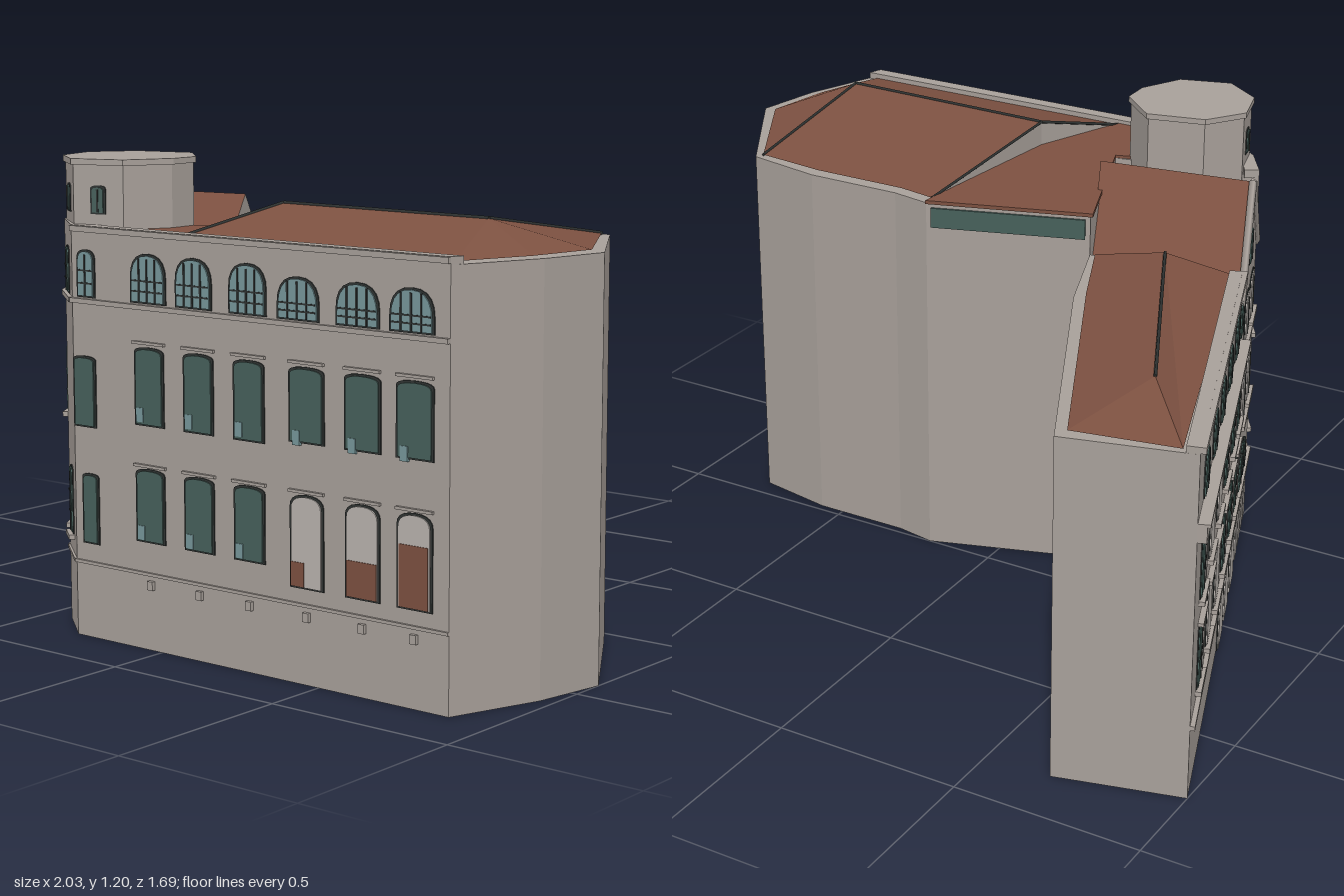
import * as THREE from 'three';

const mat = (name, color, side = THREE.FrontSide) =>
  Object.assign(new THREE.MeshStandardMaterial({ color, side }), { name });

export function createModel() {
  const model = new THREE.Group();
  model.name = 'cornerBuilding';
  const wall = mat('greyStone', 0xa8a09a, THREE.DoubleSide);
  const roof = mat('terracottaRoof', 0x7d5141, THREE.DoubleSide);
  const glass = mat('darkTealGlass', 0x47605b);
  const skyGlass = mat('paleTealGlass', 0x76969a);
  const iron = mat('darkIron', 0x2f3332);
  const pale = mat('paleStone', 0xb9b3ae);
  const clay = mat('clayPanel', 0x7d5141);

  const add = (parent, name, geometry, material) => {
    const m = new THREE.Mesh(geometry, material);
    m.name = name;
    parent.add(m);
    return m;
  };

  // Vertical block over a plan given as [x, z] points
  const block = (name, plan, y0, y1, material = wall) => {
    const shape = new THREE.Shape(plan.map(([x, z]) => new THREE.Vector2(x, -z)));
    const g = new THREE.ExtrudeGeometry(shape, { depth: y1 - y0, bevelEnabled: false });
    g.rotateX(-Math.PI / 2).translate(0, y0, 0);
    return add(model, name, g, material);
  };

  // Flat-shaded surface from polygons, each cut into a fan
  const surface = (name, polygons, material) => {
    const p = [];
    for (const poly of polygons)
      for (let i = 1; i < poly.length - 1; i++) {
        let [a, b, c] = [poly[0], poly[i], poly[i + 1]];
        const up = (b[2] - a[2]) * (c[0] - a[0]) - (b[0] - a[0]) * (c[2] - a[2]);
        if (up < 0) [b, c] = [c, b];
        p.push(...a, ...b, ...c);
      }
    const g = new THREE.BufferGeometry();
    g.setAttribute('position', new THREE.Float32BufferAttribute(p, 3));
    g.computeVertexNormals();
    return add(model, name, g, material);
  };

  // Thin bar between two points
  const bar = (name, a, b, r, material) => {
    const va = new THREE.Vector3(...a), vb = new THREE.Vector3(...b);
    const m = add(model, name, new THREE.CylinderGeometry(r, r, va.distanceTo(vb), 4), material);
    m.position.copy(va).lerp(vb, 0.5);
    m.quaternion.setFromUnitVectors(new THREE.Vector3(0, 1, 0), vb.sub(va).normalize());
  };

  // Local frame on a wall: a is its left end and b its right end, seen from outside
  const facade = (name, a, b) => {
    const g = new THREE.Group();
    g.name = name;
    g.position.set(a[0], 0, a[1]);
    g.rotation.y = Math.atan2(a[1] - b[1], b[0] - a[0]);
    g.userData.length = Math.hypot(b[0] - a[0], b[1] - a[1]);
    model.add(g);
    return g;
  };
  const box = (f, name, u, y, w, h, d, material, z = d / 2) =>
    add(f, name, new THREE.BoxGeometry(w, h, d), material).position.set(u, y, z);
  const course = (f, name, y, h, d, material = wall) =>
    box(f, name, f.userData.length / 2, y, f.userData.length, h, d, material);

  // Arched or square thin plate
  const plate = (f, name, u, y0, w, h, rise, point, d, material) => {
    const s = new THREE.Shape(), k = point ? h - rise * 0.35 : h;
    s.moveTo(-w / 2, 0).lineTo(w / 2, 0).lineTo(w / 2, h - rise);
    if (rise) s.quadraticCurveTo(w / 2, k, 0, h).quadraticCurveTo(-w / 2, k, -w / 2, h - rise);
    const g = new THREE.ExtrudeGeometry(s, { depth: d, bevelEnabled: false, curveSegments: 5 });
    add(f, name, g, material).position.set(u, y0, 0);
  };
  const windowAt = (f, u, y0, y1, w, o = {}) => {
    const { rise = 0, point = false, pane = glass, edge = iron, cols = 2, rows = 0, sill = false } = o;
    const h = y1 - y0;
    plate(f, 'windowFrame', u, y0 - 0.004, w + 0.012, h + 0.009, rise, point, 0.003, edge);
    plate(f, 'windowPane', u, y0, w, h, rise, point, 0.006, pane);
    for (let i = 1; i < cols; i++)
      box(f, 'mullion', u - w / 2 + (w * i) / cols, y0 + h * 0.47, 0.005, h * 0.92, 0.008, iron);
    for (let i = 1; i <= rows; i++)
      box(f, 'transom', u, y0 + ((h - rise * 0.6) * i) / (rows + 1), w * 0.96, 0.004, 0.008, iron);
    if (sill) box(f, 'windowSill', u, y0 - 0.01, w + 0.03, 0.012, 0.015, wall);
  };

  // Plan corners
  const inner = [-0.23, 0.14], nook = [-0.08, 0.56], corner = [-0.485, 0.63];
  const bend = [-0.42, 0.73], frontL = [-0.29, 0.835], frontR = [0.88, 0.835];
  const wingEnd = [-1, -0.76], bayL = [-0.643, 0.203], backA = [0.19, 0];

  // Solid walls
  block('mainBlock', [inner, backA, [0.3, 0.02], [0.57, 0.02], [0.785, 0.06], [1, 0.41],
    [0.965, 0.6], frontR, frontL, bend, corner, nook], 0, 1.02);
  block('wingBlock', [inner, bayL, wingEnd, [-0.675, -0.845], [-0.33, -0.13]], 0, 0.91);
  block('gableBay', [inner, nook, corner, bayL], 0, 0.83);
  block('frontParapet', [frontR, frontL, bend, corner, [-0.45, 0.61], [-0.39, 0.71],
    [-0.28, 0.8], [0.89, 0.8]], 1.015, 1.038);
  block('wingParapet', [bayL, wingEnd, [-0.968, -0.768], [-0.612, 0.19]], 0.9, 0.928);

  // Corner tower with a thin cap
  const tower = [[-0.22, 0.478], [-0.372, 0.513], [-0.44, 0.615], [-0.405, 0.737],
    [-0.3, 0.815], [-0.168, 0.775], [-0.112, 0.66], [-0.115, 0.578]];
  block('tower', tower, 0.95, 1.19);
  block('towerCap', tower.map(([x, z]) => [-0.275 + (x + 0.275) * 1.04, 0.645 + (z - 0.645) * 1.04]), 1.185, 1.2);

  // Main hipped roof, with the low flat roof beside it
  const A = [0.19, 1.024, 0.03], B = [0.14, 1.095, 0.53], C = [0.775, 1.095, 0.55];
  const D = [0.77, 1.024, 0.075], E = [0.965, 1.024, 0.41], F = [0.865, 1.024, 0.8], G = [0.04, 1.024, 0.8];
  surface('mainRoof', [[C, B, A, [0.3, 1.024, 0.05], [0.57, 1.024, 0.05], D], [C, D, E],
    [C, E, [0.935, 1.024, 0.6], F], [B, C, F, G]], roof);
  const foot = [0.14, 1.02, 0.53];
  surface('roofStep', [[A, B, foot], [foot, B, G]], wall);
  block('lowRoof', [[-0.24, 0.135], [0.19, -0.005], [0.14, 0.53], [0.04, 0.8], [-0.28, 0.8], [-0.2, 0.6], nook], 1.018, 1.028, roof);
  for (const [a, b] of [[A, B], [B, G], [B, C], [C, D]]) bar('roofRib', a, b, 0.005, iron);

  // Wing roof, hipped at both ends
  const y = 0.914, R1 = [-0.775, 0.962, -0.545], R2 = [-0.45, 0.962, 0.14];
  const BL = [-0.957, y, -0.76], BR = [-0.69, y, -0.81], LF = [-0.615, y, 0.2], RF = [-0.245, y, 0.14];
  surface('wingRoof', [[BL, R1, R2, LF], [BL, BR, R1], [R1, BR, [-0.35, y, -0.1], RF, R2], [R2, RF, LF]], roof);
  bar('wingRidge', R1, R2, 0.005, iron);

  // Steep cross gable between wing and corner
  const g1 = [-0.565, 1.09, 0.415], g2 = [-0.145, 1.09, 0.35];
  const f1 = [corner[0], 0.83, corner[1]], f2 = [nook[0], 0.83, nook[1]];
  const b1 = [bayL[0], 0.83, bayL[1]], b2 = [inner[0], 0.83, inner[1]];
  surface('gableRoof', [[g1, g2, f2, f1], [g1, g2, b2, b1]], roof);
  surface('gableWalls', [[g1, f1, b1], [g2, f2, b2]], wall);
  bar('gableCopingRight', g1, f1, 0.011, wall);
  bar('gableCopingLeft', g1, b1, 0.011, wall);

  // Long front: three storeys of windows
  const front = facade('frontFacade', frontL, frontR);
  const U = (x) => x + 0.29;
  course(front, 'upperCourse', 0.852, 0.012, 0.01);
  course(front, 'plinthCourse', 0.192, 0.008, 0.006);
  course(front, 'cornice', 1.03, 0.014, 0.008);
  [-0.03, 0.118, 0.289, 0.444, 0.62, 0.775].forEach((x, i) => {
    const u = U(x), right = i > 2;
    windowAt(front, u, 0.865, right ? 0.958 : 0.978, right ? 0.115 : 0.105,
      { rise: right ? 0.065 : 0.06, pane: skyGlass, cols: 4, rows: 2 });
    const v = U([-0.03, 0.131, 0.291, 0.468, 0.634, 0.784][i]);
    windowAt(front, v, right ? 0.58 : 0.565, 0.75, right ? 0.095 : 0.085, { rise: 0.014, cols: 1 });
    box(front, 'openCasement', v - 0.028, 0.588, 0.022, 0.035, 0.008, skyGlass);
    if (!right) {
      windowAt(front, v, 0.275, 0.45, 0.085, { rise: 0.014, cols: 1 });
      box(front, 'openCasement', v - 0.028, 0.295, 0.022, 0.035, 0.008, skyGlass);
    } else {
      windowAt(front, v, 0.235, 0.45, 0.09, { rise: 0.03, pane: pale, cols: 1 });
      const [du, w, h] = [[-0.025, 0.04, 0.058], [0, 0.088, 0.085], [0, 0.082, 0.145]][i - 3];
      box(front, 'clayInfill', v + du, 0.236 + h / 2, w, h, 0.008, clay);
    }
    box(front, 'windowHood', v, 0.765, 0.105, 0.007, 0.008, wall);
    box(front, 'windowHood', v, 0.462, 0.105, 0.007, 0.008, wall);
    box(front, 'bracket', v, 0.165, 0.018, 0.022, 0.01, wall);
  });
  windowAt(front, U(-0.24), 0.865, 0.975, 0.05, { rise: 0.025, pane: skyGlass, rows: 2 });
  windowAt(front, U(-0.25), 0.54, 0.71, 0.065, { rise: 0.01, cols: 1 });
  windowAt(front, U(-0.235), 0.245, 0.415, 0.045, { rise: 0.01, cols: 1 });

  // Two canted corner walls
  [[bend, frontL], [corner, bend]].forEach(([a, b], i) => {
    const f = facade('cornerFacade', a, b), u = f.userData.length / 2;
    course(f, 'upperCourse', 0.852, 0.012, 0.01);
    course(f, 'plinthCourse', 0.192, 0.008, 0.006);
    windowAt(f, u, 0.865, 0.975, 0.05, { rise: 0.02, rows: 2 });
    if (i) windowAt(f, u + 0.01, 0.545, 0.715, 0.06, { rise: 0.02, rows: 2, sill: true });
    windowAt(f, u, 0.25, 0.415, 0.045, { rise: 0.015, rows: 2, sill: true });
  });

  // Tower windows
  for (const [i, j] of [[4, 5], [3, 4], [2, 3]]) {
    const f = facade('towerFace', tower[i], tower[j]);
    windowAt(f, f.userData.length / 2, 1.068, 1.13, 0.03, { rise: 0.008 });
  }

  // Long wing front; V turns a frontal x into distance along this wall
  const wing = facade('wingFacade', wingEnd, corner);
  const L = wing.userData.length, V = (x) => ((x + 1) / 0.515) * L;
  course(wing, 'plinthCourse', 0.195, 0.012, 0.012);
  const bayStart = V(bayL[0]);
  const wingCourse = (name, yy, h, d) => box(wing, name, bayStart / 2, yy, bayStart, h, d, wall);
  wingCourse('wingCornice', 0.92, 0.016, 0.014);
  wingCourse('balconyCourse', 0.71, 0.045, 0.022);
  wingCourse('balconyLip', 0.732, 0.008, 0.03);
  [-0.944, -0.875, -0.81, -0.746, -0.682, -0.635].forEach((x, i) => {
    const u = V(x);
    windowAt(wing, u, 0.745, 0.855, 0.085, { rise: 0.055, point: true, rows: 1 });
    const open = i === 1 || i === 2;
    for (const [y0, y1] of [[0.48, 0.64], [0.235, 0.4]]) {
      windowAt(wing, u, y0, y1, 0.085, { rise: 0.02, pane: open ? pale : glass, cols: open ? 1 : 2, rows: open ? 0 : 1, sill: true });
      if (!open) box(wing, 'paleReveal', u + 0.033, (y0 + y1) / 2 - 0.01, 0.018, y1 - y0 - 0.03, 0.008, pale);
      box(wing, 'windowHood', u, y1 + 0.012, 0.11, 0.009, 0.014, wall);
    }
  });
  for (const x of [-0.745, -0.695, -0.642])
    windowAt(wing, V(x), 0.004, 0.15, 0.1, { rise: 0.06, point: true, pane: pale, cols: 1 });

  // Gable bay openings
  for (const x of [-0.6, -0.572, -0.545, -0.518])
    windowAt(wing, V(x), 0.025, 0.14, 0.055, { rise: 0.02, pane: pale, cols: 1 });
  for (const x of [-0.578, -0.527])
    for (const [y0, y1] of [[0.67, 0.785], [0.425, 0.56]])
      windowAt(wing, V(x), y0, y1, 0.1, { rise: 0.015, pane: pale, cols: 2, sill: true });
  windowAt(wing, V(-0.555), 0.21, 0.31, 0.21, { rise: 0.075, point: true, cols: 4, rows: 1 });
  windowAt(wing, V(-0.56), 0.865, 0.955, 0.07, { rise: 0.05, point: true });

  // Glazed strip under the low roof at the back
  const back = facade('backFacade', backA, inner);
  box(back, 'glazedStrip', back.userData.length / 2, 0.98, back.userData.length * 0.94, 0.055, 0.006, glass);

  return model;
}
